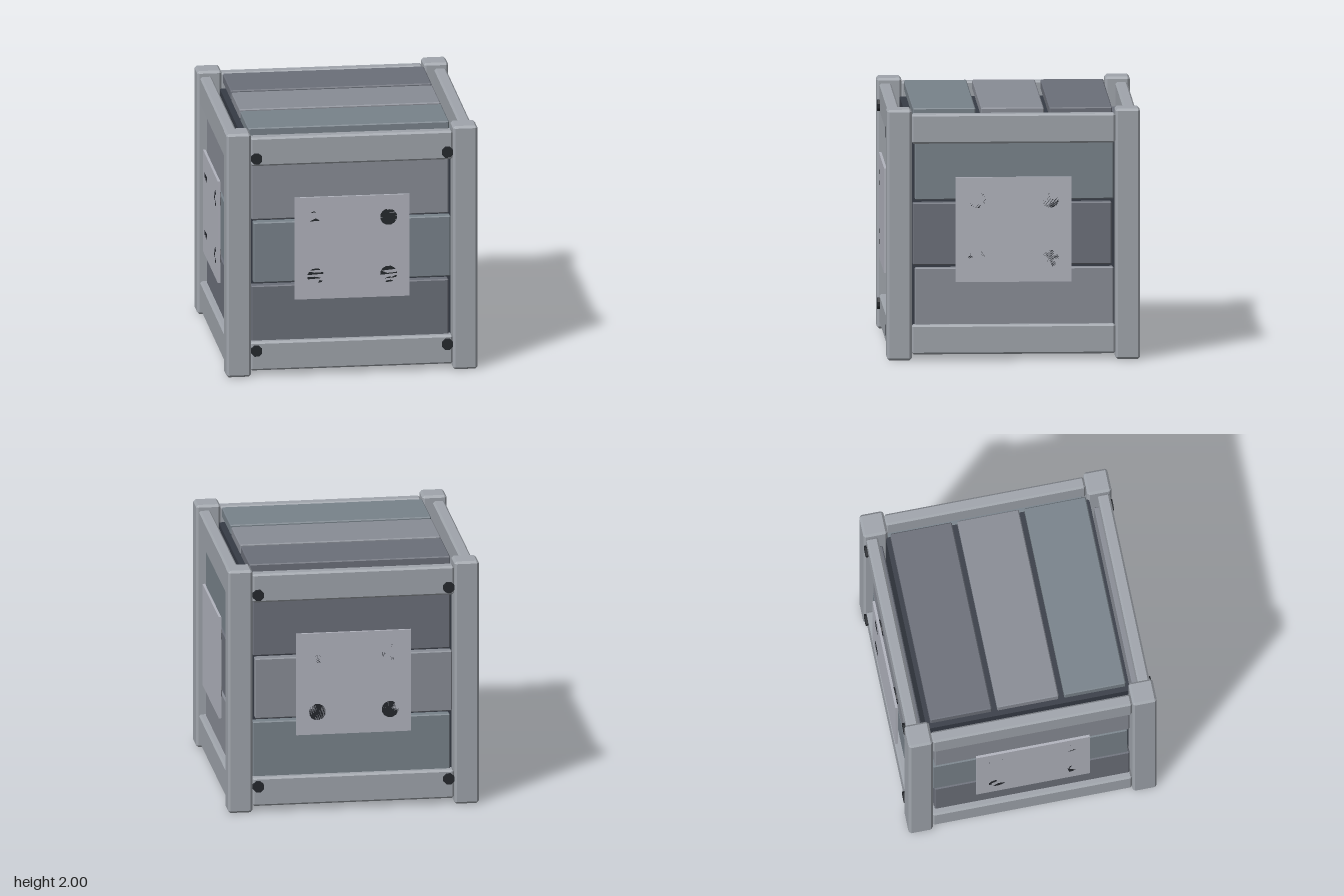
import * as THREE from 'three';
import { ConvexGeometry } from 'three/addons/geometries/ConvexGeometry.js';

const mat = (color) => new THREE.MeshStandardMaterial({ color, flatShading: true });

// Box with every edge chamfered by c: hull of three corner points per corner
function chamferBox(w, h, d, c) {
  const pts = [];
  for (const sx of [-1, 1]) for (const sy of [-1, 1]) for (const sz of [-1, 1]) {
    const x = w / 2, y = h / 2, z = d / 2;
    pts.push(
      new THREE.Vector3(sx * x, sy * (y - c), sz * (z - c)),
      new THREE.Vector3(sx * (x - c), sy * y, sz * (z - c)),
      new THREE.Vector3(sx * (x - c), sy * (y - c), sz * z));
  }
  return new ConvexGeometry(pts);
}

// Bolt lying along z with a flat edge on top
const boltGeometry = (r, sides) =>
  new THREE.CylinderGeometry(r, r, 0.04, sides).rotateY(Math.PI / sides).rotateX(Math.PI / 2);

export function createModel() {
  const crate = new THREE.Group();
  crate.name = 'crate';
  const frame = mat(0x9fa4ab), plateMat = mat(0xb1b3bd), coreMat = mat(0x363b45), boltMat = mat(0x25282d);
  const plankMats = [mat(0x888c95), mat(0x78828a), mat(0x6b6f79)];

  function add(parent, name, geo, material, x, y, z) {
    const mesh = new THREE.Mesh(geo, material);
    mesh.name = name;
    mesh.position.set(x, y, z);
    parent.add(mesh);
  }

  // Dark inner box
  add(crate, 'core', new THREE.BoxGeometry(1.64, 1.69, 1.64), coreMat, 0, 1.005, 0);

  // Corner posts
  const postGeo = chamferBox(0.195, 2, 0.195, 0.018);
  for (const x of [-1, 1]) for (const z of [-1, 1]) add(crate, 'cornerPost', postGeo, frame, x * 0.9025, 1, z * 0.9025);

  // Lid planks, back to front
  const lidGeo = chamferBox(1.6, 0.08, 0.495, 0.008);
  [2, 0, 1].forEach((m, i) => add(crate, 'lidPlank', lidGeo, plankMats[m], 0, 1.945, (i - 1) * 0.54));

  // Four walls, each made facing +z and turned into place
  const railGeo = chamferBox(1.61, 0.235, 0.095, 0.015);
  const plankGeo = chamferBox(1.57, 0.495, 0.08, 0.008);
  const plateGeo = new THREE.BoxGeometry(0.915, 0.835, 0.02);
  const railBoltGeo = boltGeometry(0.047, 8);
  const plateBoltGeo = boltGeometry(0.068, 12);
  for (let side = 0; side < 4; side++) {
    const wall = new THREE.Group();
    wall.name = ['frontWall', 'leftWall', 'backWall', 'rightWall'][side];
    wall.rotation.y = side * Math.PI / 2;
    crate.add(wall);

    for (const y of [0.1625, 1.8425]) add(wall, 'rail', railGeo, frame, 0, y, 0.9325);

    // Planks from top to bottom, alternately shifted sideways
    for (let i = 0; i < 3; i++) {
      const shift = (side + i) % 2 ? 0.008 : -0.008;
      add(wall, 'wallPlank', plankGeo, plankMats[(side + i) % 3], shift, 1.52 - i * 0.52, 0.89);
    }

    // Centre plate with four flush bolts
    add(wall, 'plate', plateGeo, plateMat, 0, 1.042, 0.99);
    for (const x of [-0.29, 0.29]) for (const y of [0.81, 1.28]) add(wall, 'plateBolt', plateBoltGeo, boltMat, x, y, 0.98);

    // Rail bolts on the front and back only
    if (side % 2 === 0) {
      for (const x of [-0.76, 0.76]) for (const y of [0.21, 1.79]) add(wall, 'railBolt', railBoltGeo, boltMat, x, y, 0.98);
    }
  }
  return crate;
}
